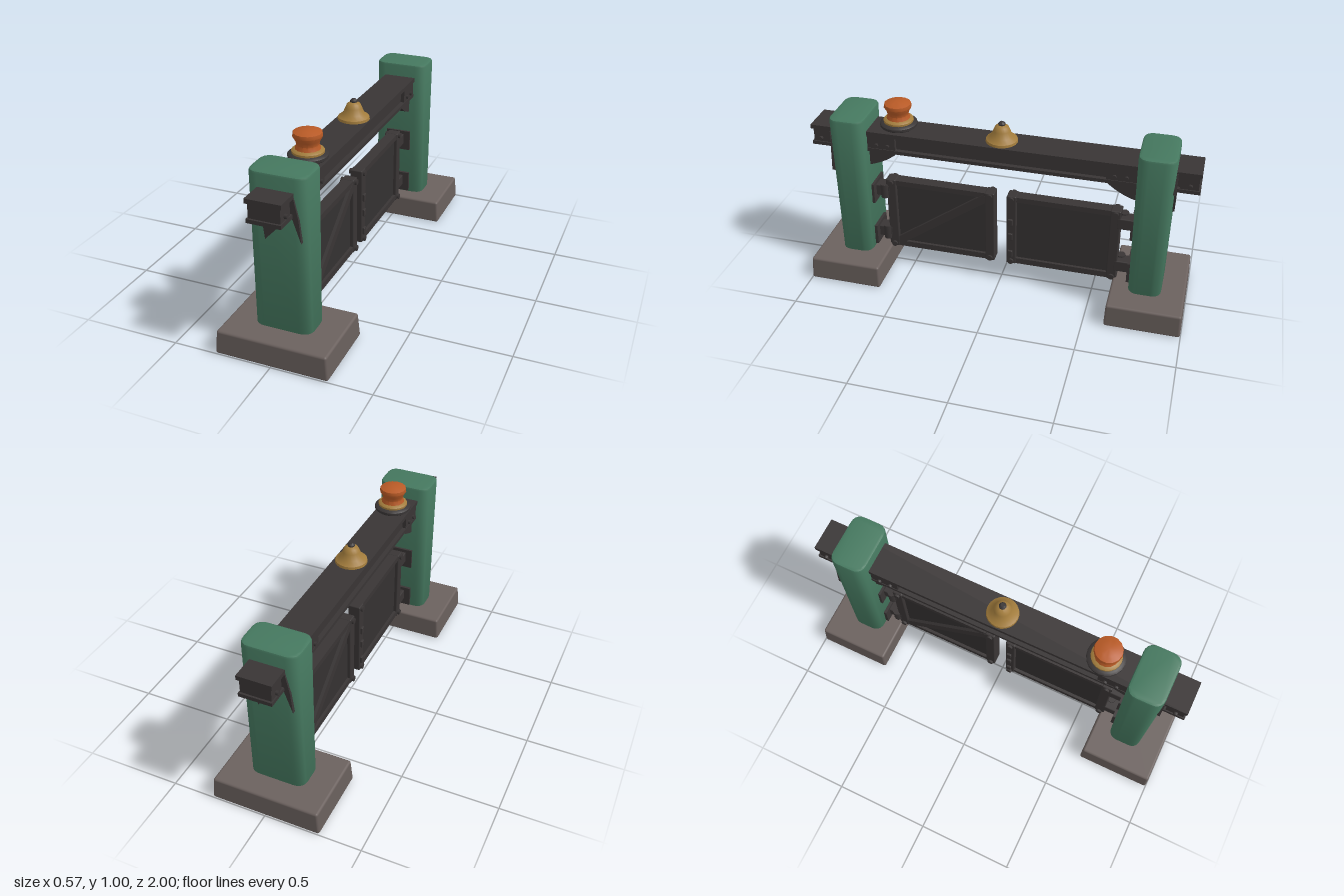
import * as THREE from 'three';
import { toCreasedNormals } from 'three/addons/utils/BufferGeometryUtils.js';
import { RoundedBoxGeometry } from 'three/addons/geometries/RoundedBoxGeometry.js';

const mat = (name, color) => {
  const m = new THREE.MeshStandardMaterial({ color });
  m.name = name;
  return m;
};

export function createModel() {
  const green = mat('green paint', 0x45785f);
  const iron = mat('dark iron', 0x393535);
  const panelIron = mat('panel iron', 0x343131);
  const stone = mat('stone', 0x6b615e);
  const orange = mat('orange glass', 0xb85a26);
  const brass = mat('brass', 0xa27c3c);

  const model = new THREE.Group();
  model.name = 'gate';

  const add = (parent, name, geo, material, x = 0, y = 0, z = 0) => {
    const mesh = new THREE.Mesh(geo, material);
    mesh.name = name;
    mesh.position.set(x, y, z);
    parent.add(mesh);
    return mesh;
  };
  // Box given by its extents along each axis
  const box = (parent, name, material, x0, x1, y0, y1, z0, z1, r = 0) => {
    const s = [x1 - x0, y1 - y0, z1 - z0];
    const geo = r ? new RoundedBoxGeometry(...s, 2, r) : new THREE.BoxGeometry(...s);
    return add(parent, name, geo, material, (x0 + x1) / 2, (y0 + y1) / 2, (z0 + z1) / 2);
  };
  const lathe = (parent, name, material, points, z, sides = 20) => {
    const geo = new THREE.LatheGeometry(points.map(p => new THREE.Vector2(...p)), sides);
    return add(parent, name, toCreasedNormals(geo, 0.7), material, 0, 0, z);
  };
  const polygon = pts => new THREE.Shape(pts.map(p => new THREE.Vector2(...p)));

  // Post: rounded rectangle extruded upward, softened at the top
  const postGeometry = () => {
    const w = 0.132, d = 0.082, r = 0.045;
    const s = new THREE.Shape();
    s.moveTo(-w + r, -d);
    s.lineTo(w - r, -d);
    s.quadraticCurveTo(w, -d, w, -d + r);
    s.lineTo(w, d - r);
    s.quadraticCurveTo(w, d, w - r, d);
    s.lineTo(-w + r, d);
    s.quadraticCurveTo(-w, d, -w, d - r);
    s.lineTo(-w, -d + r);
    s.quadraticCurveTo(-w, -d, -w + r, -d);
    const geo = new THREE.ExtrudeGeometry(s, {
      depth: 0.806, bevelThickness: 0.012, bevelSize: 0.012, bevelSegments: 2, curveSegments: 5,
    });
    geo.rotateX(-Math.PI / 2);
    const p = geo.attributes.position;
    for (let i = 0; i < p.count; i++) {
      p.setZ(i, p.getZ(i) * (0.9 + 0.12 * p.getY(i)));
    }
    return toCreasedNormals(geo, 0.7);
  };

  // Foot: block slightly wider at the bottom
  const footGeometry = () => {
    const geo = new RoundedBoxGeometry(0.57, 0.125, 0.39, 2, 0.012);
    const p = geo.attributes.position;
    for (let i = 0; i < p.count; i++) {
      if (p.getY(i) > 0) {
        p.setX(i, p.getX(i) * 0.97);
        p.setZ(i, p.getZ(i) * 0.98);
      }
    }
    return geo;
  };

  // Each half is the other turned half way round
  for (const turn of [0, Math.PI]) {
    const half = new THREE.Group();
    half.name = turn ? 'backHalf' : 'frontHalf';
    half.rotation.y = turn;
    model.add(half);

    add(half, 'foot', footGeometry(), stone, 0, 0.0625, 0.803);
    add(half, 'post', postGeometry(), green, 0, 0.1, 0.787);

    // Ragged collar plate on the outer face of the post
    const collar = polygon([[-0.115, 0.73], [-0.09, 0.835], [0.085, 0.835], [0.11, 0.72],
      [0.12, 0.61], [0.08, 0.725], [0.03, 0.69], [-0.055, 0.6], [-0.07, 0.73]]);
    add(half, 'collarPlate', new THREE.ExtrudeGeometry(collar, { depth: 0.02, bevelEnabled: false }),
      iron, 0, 0, 0.868);

    // Curved gusset under the beam
    const gusset = new THREE.Shape();
    gusset.moveTo(0.72, 0.735);
    gusset.lineTo(0.53, 0.735);
    gusset.quadraticCurveTo(0.6, 0.66, 0.72, 0.63);
    const gussetGeo = new THREE.ExtrudeGeometry(gusset, { depth: 0.12, bevelEnabled: false, curveSegments: 5 });
    gussetGeo.rotateY(-Math.PI / 2);
    add(half, 'gusset', gussetGeo, iron, 0.06, 0, 0);

    // Beam cleats with bolts, both sides
    for (const s of [-1, 1]) {
      add(half, 'cleat', new THREE.BoxGeometry(0.02, 0.075, 0.15), iron, s * 0.07, 0.787, 0.62);
      add(half, 'endCleat', new THREE.BoxGeometry(0.02, 0.075, 0.09), iron, s * 0.067, 0.787, 0.945);
      for (const z of [0.585, 0.645, 0.95]) {
        const bolt = new THREE.CylinderGeometry(0.011, 0.011, 0.016, 6);
        bolt.rotateZ(Math.PI / 2);
        add(half, 'beamBolt', bolt, iron, s * 0.083, 0.77, z);
      }
    }

    // Hinges joining post and leaf
    for (const y of [0.2, 0.465]) {
      box(half, 'hingePlate', iron, -0.07, 0.07, y - 0.065, y + 0.05, 0.685, 0.71);
      box(half, 'hingeArm', iron, -0.035, 0.035, y - 0.032, y + 0.032, 0.61, 0.7, 0.006);
      add(half, 'hingePin', new THREE.CylinderGeometry(0.024, 0.024, 0.08, 10), iron, 0.025, y, 0.64);
    }

    // Gate leaf
    const leaf = new THREE.Group();
    leaf.name = 'gateLeaf';
    half.add(leaf);
    box(leaf, 'leafPanel', panelIron, -0.015, 0.015, 0.13, 0.52, 0.05, 0.61);
    box(leaf, 'topRail', iron, -0.03, 0.03, 0.505, 0.535, 0.035, 0.63);
    box(leaf, 'bottomRail', iron, -0.03, 0.03, 0.115, 0.148, 0.035, 0.63);
    box(leaf, 'innerStile', iron, -0.034, 0.034, 0.112, 0.538, 0.033, 0.085, 0.006);
    box(leaf, 'outerStile', iron, -0.034, 0.034, 0.112, 0.538, 0.575, 0.628, 0.006);
    const brace = add(leaf, 'diagonalBrace', new THREE.BoxGeometry(0.022, 0.045, 0.62), iron, 0.021, 0.325, 0.33);
    brace.rotation.x = Math.atan2(0.36, 0.5);
    for (const s of [-1, 1]) {
      for (const z of [0.058, 0.602]) {
        for (const y of [0.13, 0.52]) {
          const rivet = new THREE.CylinderGeometry(0.016, 0.016, 0.014, 8);
          rivet.rotateZ(Math.PI / 2);
          add(leaf, 'cornerRivet', rivet, iron, s * 0.038, y, z);
        }
      }
    }
    for (const y of [0.18, 0.29, 0.38]) {
      box(leaf, 'latchKnob', iron, -0.045, -0.03, y - 0.02, y + 0.02, 0.042, 0.068, 0.004);
    }
  }

  // Cross beam with flanges
  const beam = new THREE.Group();
  beam.name = 'crossBeam';
  model.add(beam);
  box(beam, 'web', iron, -0.06, 0.06, 0.74, 0.835, -0.99, 0.99);
  box(beam, 'topFlange', iron, -0.087, 0.087, 0.822, 0.845, -1, 1);
  box(beam, 'bottomFlange', iron, -0.083, 0.083, 0.73, 0.749, -1, 1);

  // Warning lamp
  const lampZ = 0.545;
  lathe(model, 'lampStem', iron, [[0.06, 0.84], [0.06, 0.865]], lampZ);
  lathe(model, 'lampBase', iron, [[0, 0.857], [0.085, 0.857], [0.096, 0.865], [0.096, 0.878], [0.085, 0.887], [0, 0.887]], lampZ);
  lathe(model, 'lampRing', brass, [[0.077, 0.885], [0.077, 0.897], [0.066, 0.906], [0, 0.906]], lampZ);
  lathe(model, 'lampGlass', orange, [[0.062, 0.904], [0.053, 0.925], [0.058, 0.945], [0.071, 0.968],
    [0.068, 0.985], [0.04, 0.996], [0, 1]], lampZ, 14);

  // Bell
  lathe(model, 'bell', brass, [[0, 0.845], [0.082, 0.845], [0.08, 0.858], [0.055, 0.875], [0.043, 0.905],
    [0.034, 0.925], [0.018, 0.935], [0, 0.935]], 0);
  lathe(model, 'bellFinial', iron, [[0.018, 0.93], [0.019, 0.942], [0.01, 0.951], [0, 0.952]], 0, 10);

  return model;
}
